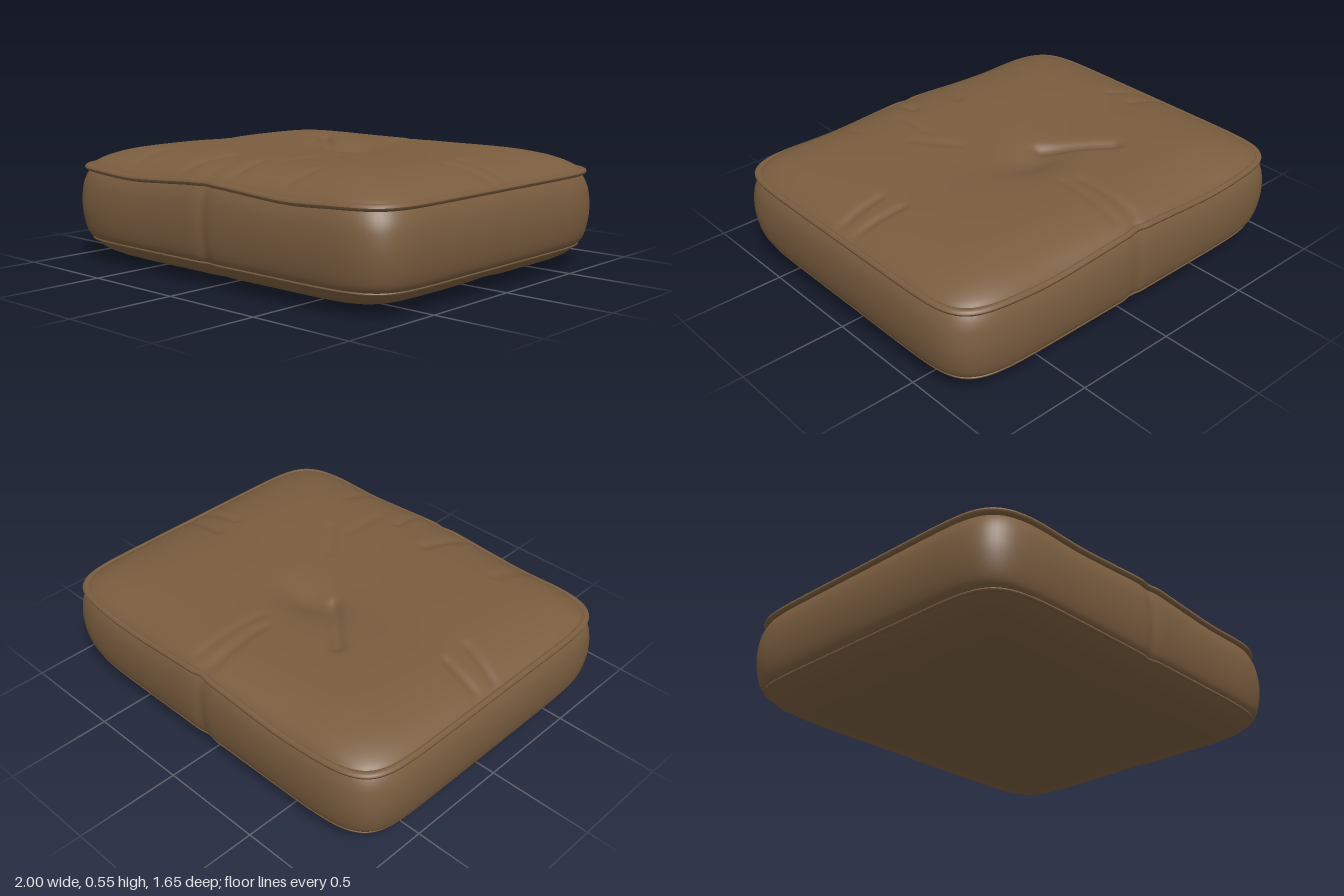
import * as THREE from 'three';

const SEG = 320;
const gauss = (d, w) => Math.exp(-(d * d) / (w * w));

// Rounded-rectangle outline point, scaled by sx and sz, with a small pinch at x = 0
function outline(i, sx, sz = sx) {
  const a = (i / SEG) * Math.PI * 2, c = Math.cos(a), s = Math.sin(a), n = 9;
  const k = Math.pow(Math.abs(c) ** n + Math.abs(s) ** n, -1 / n);
  const x = c * k * sx, z = s * k * 0.825 * sz;
  return [x, z * (1 - 0.012 * gauss(x, 0.035))];
}

// Gentle wave of the sewn edge along the front and back
const wave = (x, z) => Math.abs(z) > 0.6
  ? 0.012 * gauss(x, 0.2) - 0.012 * gauss(Math.abs(x) - 0.5, 0.2) : 0;

// Skin through closed rings; point(r, i) returns [x, y, z]
function loft(rings, point, mat, name) {
  const pos = [], idx = [];
  for (let r = 0; r < rings; r++)
    for (let i = 0; i < SEG; i++) {
      pos.push(...point(r, i));
      if (r === rings - 1) continue;
      const a = r * SEG + i, b = r * SEG + (i + 1) % SEG;
      idx.push(a, a + SEG, b, b, a + SEG, b + SEG);
    }
  const g = new THREE.BufferGeometry();
  g.setAttribute('position', new THREE.Float32BufferAttribute(pos, 3));
  g.setIndex(idx);
  g.computeVertexNormals();
  const mesh = new THREE.Mesh(g, mat);
  mesh.name = name;
  return mesh;
}

// Creases of the top: x1, z1, x2, z2, width, depth
const CREASES = [
  [-0.35, -0.32, -0.1, -0.09, 0.035, 0.022],
  [-0.92, -0.09, -0.74, -0.06, 0.022, 0.012], [-0.94, 0.02, -0.74, 0.08, 0.022, 0.01],
  [0.7, -0.08, 0.94, -0.06, 0.022, 0.012], [0.72, 0.05, 0.94, 0.04, 0.022, 0.012],
  [0.18, 0.16, 0.32, 0.32, 0.03, 0.007], [0.22, 0.35, 0.22, 0.55, 0.025, 0.005],
  [-0.52, 0.56, -0.54, 0.74, 0.022, 0.01], [-0.12, 0.52, -0.18, 0.74, 0.028, 0.012],
  [0.11, 0.58, 0.13, 0.74, 0.022, 0.012], [0.46, 0.58, 0.44, 0.74, 0.022, 0.008],
  [-0.03, -0.74, -0.02, -0.45, 0.025, 0.009], [0.07, -0.74, 0.05, -0.4, 0.022, 0.007],
];

function creaseDepth(x, z) {
  let sum = 0;
  for (const [x1, z1, x2, z2, w, d] of CREASES) {
    const dx = x2 - x1, dz = z2 - z1;
    const t = THREE.MathUtils.clamp(((x - x1) * dx + (z - z1) * dz) / (dx * dx + dz * dz), 0, 1);
    sum += d * gauss(Math.hypot(x - x1 - t * dx, z - z1 - t * dz), w);
  }
  return sum;
}

export function createModel() {
  const leather = new THREE.MeshStandardMaterial({ color: 0x7a5d3f });
  leather.name = 'brown leather';
  const group = new THREE.Group();
  group.name = 'seatCushion';

  // Domed top panel with tufted centre
  const N = 64;
  group.add(loft(N + 1, (r, i) => {
    const t = 1 - r / N;
    const [x, z] = outline(i, t * 0.965);
    const dome = 0.105 * Math.pow(1 - Math.pow(t, 6), 0.8);
    const tuft = 0.04 * gauss(Math.hypot(x, (z + 0.15) * 1.5), 0.16)
      + 0.02 * gauss(Math.hypot(x, z + 0.1), 0.4) + 0.006 * gauss(z, 0.15);
    return [x, 0.447 + dome - (tuft + creaseDepth(x, z)) * (1 - t ** 20) + wave(x, z) * t ** 8, z];
  }, leather, 'topPanel'));

  // Bulging side band between the two seams
  const band = new THREE.SplineCurve([
    [0.95, 0.1], [0.975, 0.13], [0.992, 0.19], [1, 0.27], [0.994, 0.35], [0.98, 0.4], [0.962, 0.435],
  ].map((p) => new THREE.Vector2(...p))).getPoints(24);
  group.add(loft(band.length, (r, i) => {
    const { x: s, y } = band[r];
    const [x, z] = outline(i, s);
    return [x, y + wave(x, z) * (y - 0.1) / 0.34, z];
  }, leather, 'sideBand'));

  // Rounded bottom panel with a shallow hollow across the middle
  const M = 32;
  group.add(loft(M + 1, (r, i) => {
    const t = r / M;
    const [x, z] = outline(i, t * 0.952);
    return [x, 0.1 - 0.1 * Math.pow(1 - Math.pow(t, 7), 0.7)
      + 0.015 * gauss(z, 0.1) * (1 - t ** 6), z];
  }, leather, 'bottomPanel'));

  // Piping cords sewn along both seams
  const piping = (scale, y0, radius, waviness, name) => {
    const K = 10;
    group.add(loft(K + 1, (r, i) => {
      const a = (r / K) * Math.PI * 2;
      const off = radius * Math.cos(a);
      const [x, z] = outline(i, scale + off, scale + off / 0.825);
      return [x, y0 + radius * Math.sin(a) + wave(x, z) * waviness, z];
    }, leather, name));
  };
  piping(0.968, 0.443, 0.015, 1, 'topPiping');
  piping(0.951, 0.104, 0.009, 0, 'bottomPiping');

  return group;
}
